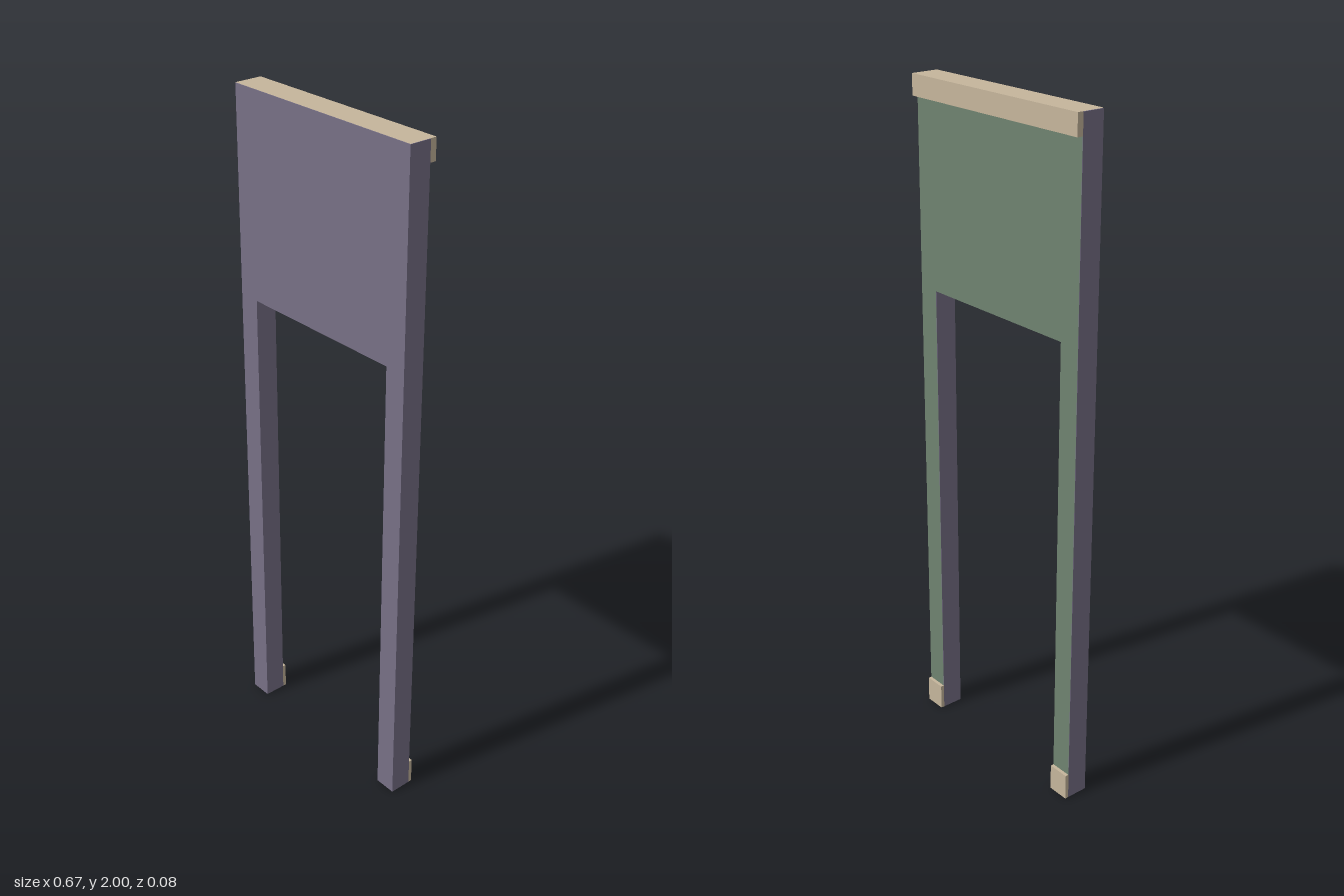
import * as THREE from 'three';

const W = 0.333;       // half width
const INNER = 0.267;   // half width of the opening
const BACK = -0.024;   // rear of the frame
const FRONT = 0.042;

export function createModel() {
  const model = new THREE.Group();
  model.name = 'archFrame';
  const paint = new THREE.MeshStandardMaterial({ color: 0x777086 });
  paint.name = 'greyPurple';
  const green = new THREE.MeshStandardMaterial({ color: 0x6f8370 });
  green.name = 'mossGreen';
  const beige = new THREE.MeshStandardMaterial({ color: 0xc6b69c });
  beige.name = 'beige';

  const add = (name, geometry, material, x = 0, y = 0, z = 0) => {
    const mesh = new THREE.Mesh(geometry, material);
    mesh.name = name;
    mesh.position.set(x, y, z);
    model.add(mesh);
    return mesh;
  };

  // Upside-down U outline: wide header panel on two legs
  const outline = new THREE.Shape([
    [-W, 0], [-INNER, 0], [-INNER, 1.4], [INNER, 1.4],
    [INNER, 0], [W, 0], [W, 1.999], [-W, 1.999],
  ].map(([x, y]) => new THREE.Vector2(x, y)));
  add('frame', new THREE.ExtrudeGeometry(outline, {
    depth: FRONT - BACK, bevelEnabled: false,
  }), paint, 0, 0, BACK);

  // Green facing over the whole rear
  add('backFacing', new THREE.ShapeGeometry(outline), green, 0, 0, BACK - 0.001).rotation.y = Math.PI;

  // Beige top surface and the lip behind the header
  add('topFacing', new THREE.PlaneGeometry(2 * W, FRONT - BACK), beige,
    0, 2, (FRONT + BACK) / 2).rotation.x = -Math.PI / 2;
  add('topLip', new THREE.BoxGeometry(2 * W, 0.06, 0.018), beige, 0, 1.97, BACK - 0.009);

  // Small blocks behind the foot of each leg
  for (const side of [-1, 1]) {
    add(side > 0 ? 'leftFootBlock' : 'rightFootBlock',
      new THREE.BoxGeometry(W - INNER, 0.08, 0.011), beige,
      side * (W + INNER) / 2, 0.04, BACK - 0.0055);
  }
  return model;
}
